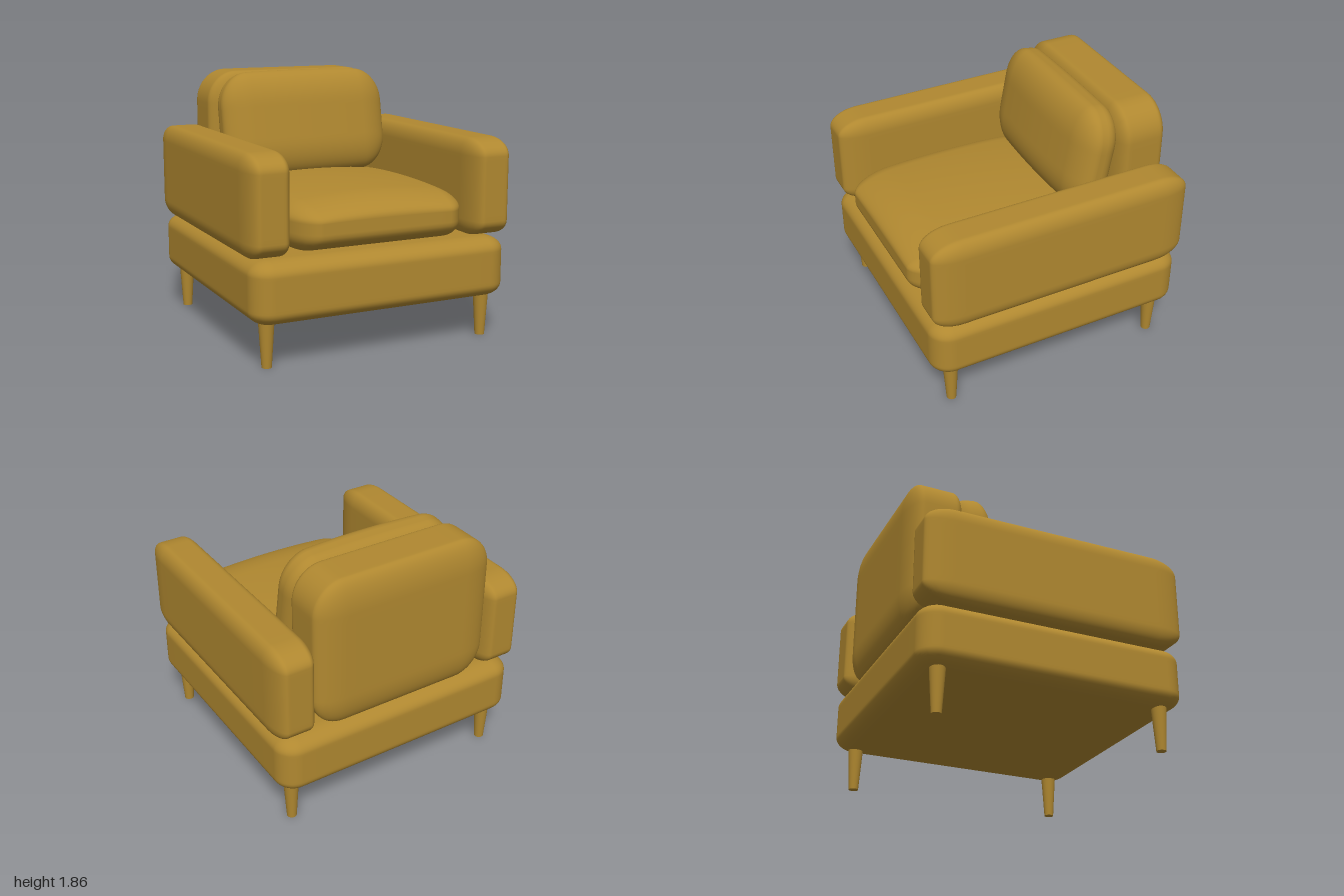
import * as THREE from 'three';
import { mergeVertices } from 'three/addons/utils/BufferGeometryUtils.js';

const CORE = 0.5; // share of each cube axis that maps to the straight middle

// Soft block with a separate corner radius per axis and an optional deform rule
function softBlock(size, radii, deform) {
  const geo = new THREE.BoxGeometry(2, 2, 2, 24, 24, 24);
  geo.deleteAttribute('uv');
  geo.deleteAttribute('normal');
  const pos = geo.attributes.position;
  const p = new THREE.Vector3();
  const n = new THREE.Vector3();
  for (let i = 0; i < pos.count; i++) {
    p.fromBufferAttribute(pos, i);
    const c = p.toArray();
    const bend = c.map((v) => Math.sign(v) * Math.tan(Math.max(0, (Math.abs(v) - CORE) / (1 - CORE)) * Math.PI / 4));
    n.fromArray(bend).normalize();
    const out = c.map((v, k) => {
      const straight = size[k] / 2 - radii[k];
      return Math.sign(v) * straight * Math.min(1, Math.abs(v) / CORE) + radii[k] * n.getComponent(k);
    });
    p.fromArray(out);
    if (deform) deform(p);
    pos.setXYZ(i, p.x, p.y, p.z);
  }
  const merged = mergeVertices(geo, 1e-5);
  merged.computeVertexNormals();
  return merged;
}

export function createModel() {
  const group = new THREE.Group();
  group.name = 'armchair';
  const fabric = new THREE.MeshStandardMaterial({ color: 0xb08830 });
  fabric.name = 'mustard';

  const add = (name, geo, x, y, z) => {
    const mesh = new THREE.Mesh(geo, fabric);
    mesh.name = name;
    mesh.position.set(x, y, z);
    group.add(mesh);
    return mesh;
  };

  // Upholstered base
  add('base', softBlock([1.95, 0.44, 1.95], [0.15, 0.1, 0.15]), 0, 0.522, 0);

  // Armrests and tapered legs, mirrored
  const armGeo = softBlock([0.315, 0.7, 1.95], [0.075, 0.12, 0.22]);
  const legGeo = new THREE.CylinderGeometry(0.058, 0.035, 0.36, 24);
  for (const side of [1, -1]) {
    const label = side > 0 ? 'left' : 'right';
    add(`${label}Armrest`, armGeo, side * 0.8425, 1.094, 0);
    add(`${label}FrontLeg`, legGeo, side * 0.84, 0.18, 0.82);
    add(`${label}BackLeg`, legGeo, side * 0.84, 0.18, -0.82);
  }

  // Backrest
  add('backrest', softBlock([1.4, 1.115, 0.415], [0.23, 0.24, 0.09]), 0, 1.3, -0.768);

  // Seat cushion, crowned on its upper side
  const seatGeo = softBlock([1.35, 0.39, 1.58], [0.16, 0.14, 0.32], (p) => {
    const drop = 0.05 * (p.x / 0.675) ** 2 + 0.04 * (p.z / 0.79) ** 2;
    if (p.y > 0) p.y -= drop * p.y / 0.195;
    p.x *= 1 - 0.06 * (p.z / 0.79) ** 4;
  });
  add('seatCushion', seatGeo, 0, 0.937, 0.18);

  // Back cushion, leaning back with a bulged front
  const cushionGeo = softBlock([1.34, 0.8, 0.34], [0.22, 0.26, 0.14], (p) => {
    if (p.z > 0) p.z *= 1 - 0.25 * (p.x / 0.67) ** 2;
    p.y *= 1 - 0.04 * (p.x / 0.67) ** 2;
  });
  add('backCushion', cushionGeo, 0, 1.465, -0.43).rotation.x = -0.18;

  return group;
}
